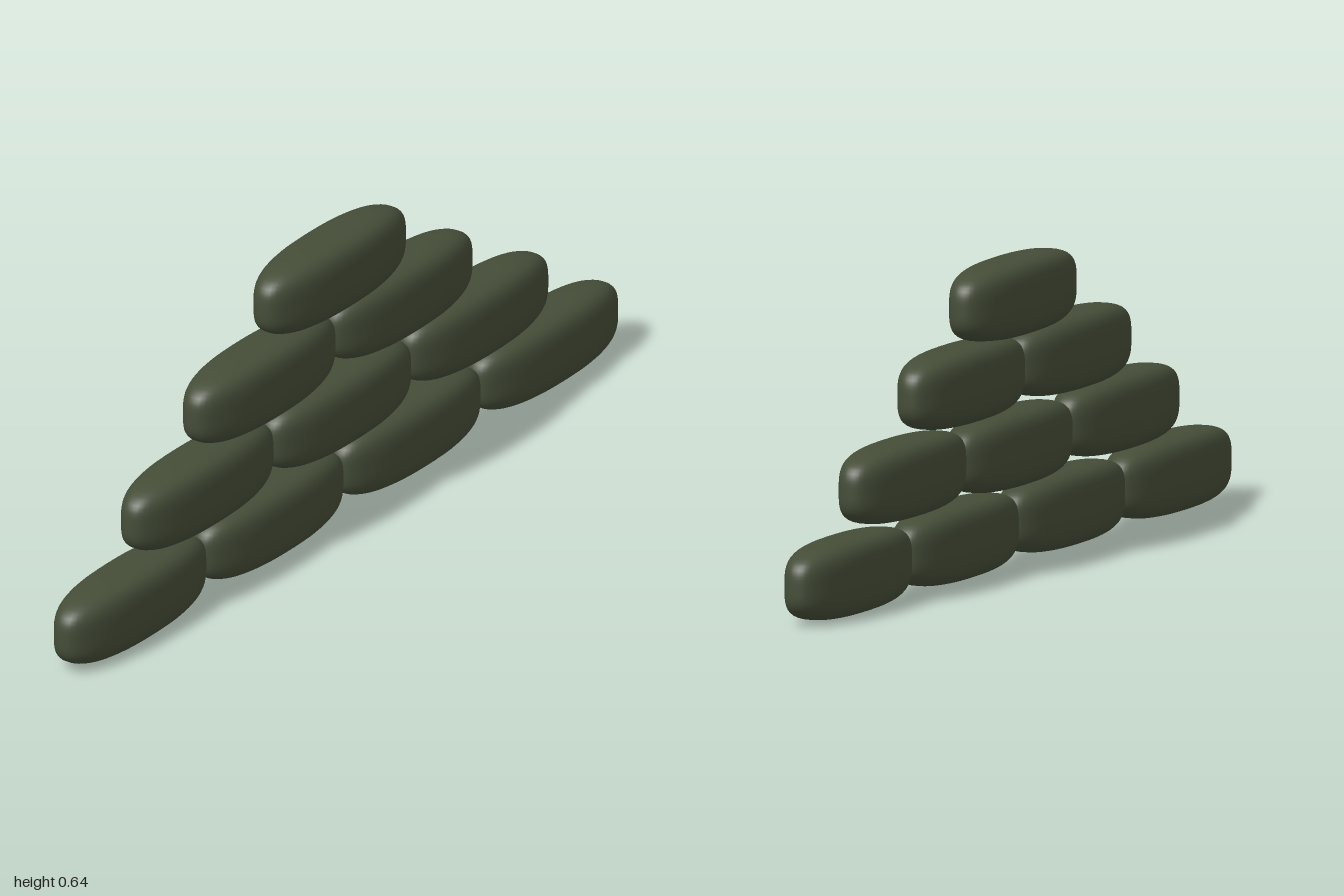
import * as THREE from 'three';

const HALF = { x: 0.07, y: 0.081, z: 0.249 };
const PLAN = 2.4; // roundness of the bag seen from above
const SIDE = 3.6; // roundness of its upper and lower edges

// Plump bag: a sphere pushed out onto a superellipsoid, with smooth normals
function bagGeometry() {
  const geo = new THREE.SphereGeometry(1, 64, 40);
  const pos = geo.attributes.position;
  const nor = geo.attributes.normal;
  const n = new THREE.Vector3();
  const slope = (v, e) => Math.sign(v) * Math.abs(v) ** (e - 1);
  for (let i = 0; i < pos.count; i++) {
    let x = pos.getX(i), y = pos.getY(i), z = pos.getZ(i);
    const plan = Math.abs(x) ** PLAN + Math.abs(z) ** PLAN;
    const k = (plan ** (SIDE / PLAN) + Math.abs(y) ** SIDE) ** (-1 / SIDE);
    x *= k; y *= k; z *= k;
    const p = Math.abs(x) ** PLAN + Math.abs(z) ** PLAN;
    const f = p ** (SIDE / PLAN - 1);
    n.set(f * slope(x, PLAN) / HALF.x, slope(y, SIDE) / HALF.y, f * slope(z, PLAN) / HALF.z).normalize();
    pos.setXYZ(i, x * HALF.x, y * HALF.y, z * HALF.z);
    nor.setXYZ(i, n.x, n.y, n.z);
  }
  return geo;
}

// Rows from the ground up: each bag as [z, y] of its centre
const ROWS = [
  [[0.751, 0.082], [0.251, 0.082], [-0.249, 0.082], [-0.751, 0.082]],
  [[0.506, 0.249], [0.004, 0.243], [-0.496, 0.249]],
  [[0.28, 0.409], [-0.22, 0.409]],
  [[0.023, 0.561]],
];

export function createModel() {
  const model = new THREE.Group();
  model.name = 'sandbagWall';
  const geo = bagGeometry();
  const cloth = new THREE.MeshStandardMaterial({ color: 0x454d38 });

  ROWS.forEach((bags, r) => {
    const row = new THREE.Group();
    row.name = `sandbagRow${r + 1}`;
    bags.forEach(([z, y], i) => {
      const bag = new THREE.Mesh(geo, cloth);
      bag.name = `sandbag${r + 1}_${i + 1}`;
      bag.position.set(0, y, z);
      row.add(bag);
    });
    model.add(row);
  });
  return model;
}
